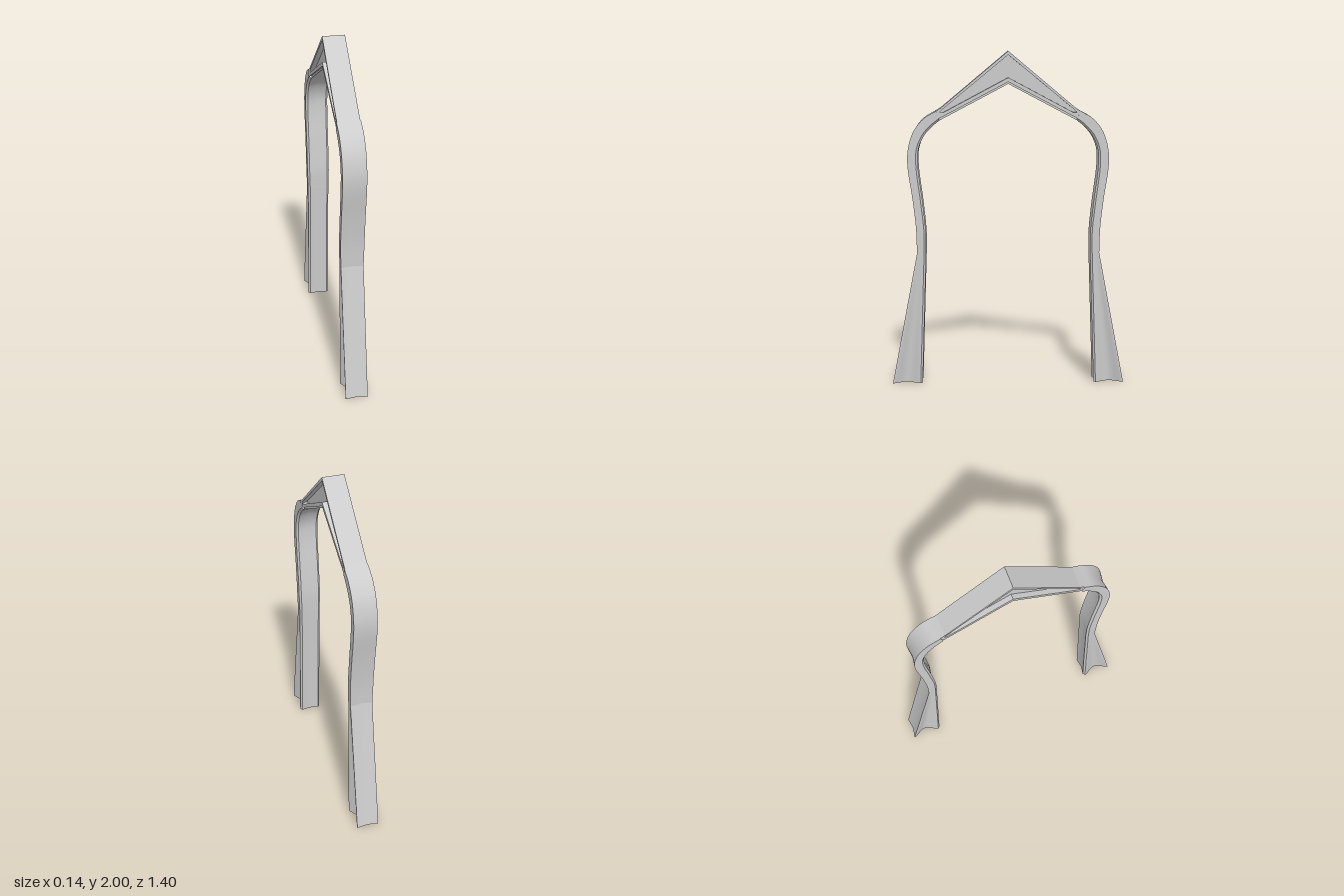
import * as THREE from 'three';
import { toCreasedNormals } from 'three/addons/utils/BufferGeometryUtils.js';

const material = new THREE.MeshStandardMaterial({ color: 0xcccccc });

const spline = (pts) => new THREE.CatmullRomCurve3(pts.map(([z, y]) => new THREE.Vector3(0, y, z)));

// Outer and inner edge of the curved upper leg as [z, y]
const outerCurve = spline([[0.546, 0.8], [0.55, 0.95], [0.568, 1.12], [0.597, 1.33], [0.592, 1.43],
  [0.56, 1.53], [0.5, 1.605], [0.425, 1.65]]);
const innerCurve = spline([[0.492, 0.8], [0.492, 0.92], [0.51, 1.11], [0.535, 1.32], [0.532, 1.42],
  [0.5, 1.5], [0.45, 1.558], [0.405, 1.594]]);

// One closed cross-section between an outer and an inner point
function section(outer, inner, halfWidth, scoop, notch) {
  const depth = outer.distanceTo(inner);
  const lip = 0.012;
  const half = [[halfWidth, 0]];
  for (let k = 0; k <= 10; k++) {
    const s = k / 10;
    half.push([halfWidth - scoop * Math.sin(Math.PI * s) ** 1.3, 0.008 + s * (depth - lip - 0.014)]);
  }
  half.push([halfWidth, depth - lip], [halfWidth - lip, depth]);
  const loop = [[0, notch], ...half, [0, depth - notch],
    ...half.slice().reverse().map(([x, d]) => [-x, d])];
  return loop.map(([x, d]) => outer.clone().lerp(inner, d / depth).setX(x));
}

// Skin a row of equal sections, closing the first one
function loft(rings) {
  const out = [];
  const n = rings[0].length;
  const tri = (...pts) => pts.forEach((p) => out.push(p.x, p.y, p.z));
  for (let i = 0; i < rings.length - 1; i++) {
    for (let j = 0; j < n; j++) {
      const k = (j + 1) % n;
      const [a, b, c, d] = [rings[i][j], rings[i][k], rings[i + 1][k], rings[i + 1][j]];
      tri(a, b, c);
      tri(a, c, d);
    }
  }
  const first = rings[0];
  const centre = first.reduce((s, p) => s.add(p), new THREE.Vector3()).divideScalar(n);
  first.forEach((p, j) => tri(centre, first[(j + 1) % n], p));
  const g = new THREE.BufferGeometry();
  g.setAttribute('position', new THREE.Float32BufferAttribute(out, 3));
  return toCreasedNormals(g, 0.45);
}

// Tapering foot with scooped sides
function lowerLeg() {
  const rings = [];
  for (let i = 0; i <= 12; i++) {
    const t = i / 12;
    const outer = new THREE.Vector3(0, 0.8 * t, 0.7 - 0.154 * t);
    const inner = new THREE.Vector3(0, 0.8 * t, 0.52 - 0.028 * t);
    rings.push(section(outer, inner, 0.066, 0.036 * (1 - t), 0.01));
  }
  return loft(rings);
}

// Slender bent shoulder
function upperLeg() {
  const rings = [];
  for (let i = 0; i <= 36; i++) {
    const t = i / 36;
    const width = 0.066 + 0.003 * Math.min(1, t * 8);
    rings.push(section(outerCurve.getPoint(t), innerCurve.getPoint(t), width, 0,
      0.01 * Math.min(1, (1 - t) * 4)));
  }
  return loft(rings);
}

const toShape = (Type, pts) => new Type(pts.map(([x, y]) => new THREE.Vector2(x, y)));

// Flat plate in the z-y plane, centred on x = 0
function plate(pts, thickness, hole) {
  const shape = toShape(THREE.Shape, pts);
  if (hole) shape.holes.push(toShape(THREE.Path, hole));
  const g = new THREE.ExtrudeGeometry(shape, { depth: thickness, bevelEnabled: false });
  return g.translate(0, 0, -thickness / 2).rotateY(-Math.PI / 2);
}

export function createModel() {
  const model = new THREE.Group();
  model.name = 'archFrame';
  const add = (parent, name, geometry) => {
    const mesh = new THREE.Mesh(geometry, material);
    mesh.name = name;
    parent.add(mesh);
  };

  const lower = lowerLeg();
  const upper = upperLeg();
  for (const [name, angle] of [['frontLeg', 0], ['backLeg', Math.PI]]) {
    const leg = new THREE.Group();
    leg.name = name;
    leg.rotation.y = angle;
    add(leg, 'lowerLeg', lower);
    add(leg, 'upperLeg', upper);
    model.add(leg);
  }

  // Gable: rim around a recessed triangular web, with a narrow lip below
  const hole = [[0, 1.978], [-0.395, 1.653], [-0.405, 1.64], [-0.385, 1.64], [0, 1.845],
    [0.385, 1.64], [0.405, 1.64], [0.395, 1.653]];
  const rim = [[0, 2], [-0.4, 1.666], [-0.425, 1.65], [-0.409, 1.605], [0, 1.82],
    [0.409, 1.605], [0.425, 1.65], [0.4, 1.666]];
  const lip = [[0, 1.825], [-0.41, 1.61], [-0.405, 1.594], [0, 1.808], [0.405, 1.594], [0.41, 1.61]];
  const gable = new THREE.Group();
  gable.name = 'gable';
  add(gable, 'gableRim', plate(rim, 0.132, hole));
  add(gable, 'gableWeb', plate(hole, 0.07));
  add(gable, 'gableLip', plate(lip, 0.112));
  model.add(gable);
  return model;
}
